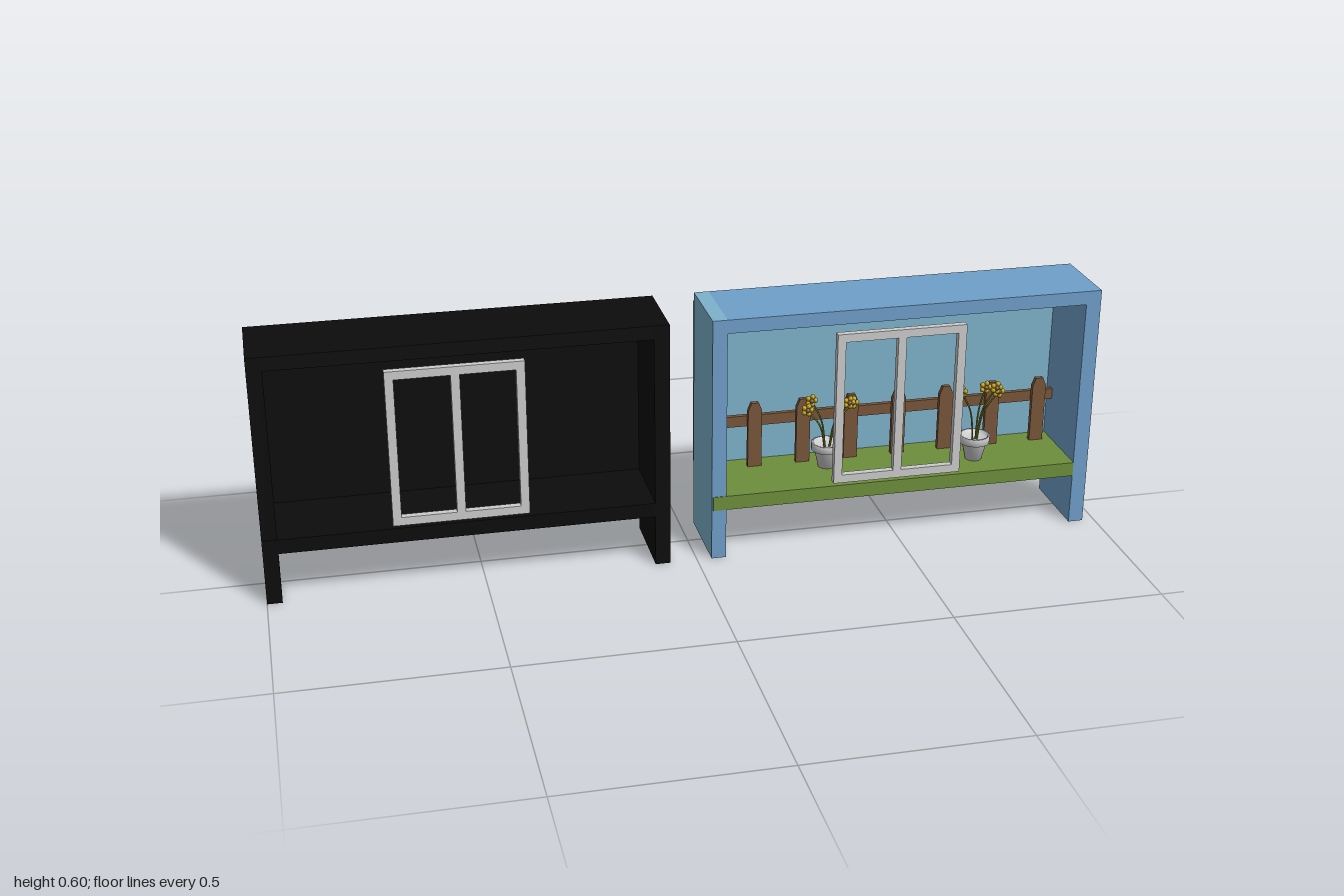
import * as THREE from 'three';

const mat = (color, flatShading = false) => new THREE.MeshStandardMaterial({ color, flatShading });
const BLUE = mat(0x6f9fc9), TEAL = mat(0x7eb2cb), BLACK = mat(0x0c0c0c), GREEN = mat(0x6e8e3c);
const WOOD = mat(0x775538), GREY = mat(0xcccccc), YELLOW = mat(0xb89a14), STEM = mat(0x6b7420);
const POT = new THREE.MeshStandardMaterial({ color: 0xcccccc, side: THREE.DoubleSide });

function add(parent, name, geometry, material) {
  const mesh = new THREE.Mesh(geometry, material);
  mesh.name = name;
  parent.add(mesh);
  return mesh;
}

// Box given by its limits along each axis
function box(parent, name, x0, x1, y0, y1, z0, z1, material) {
  const mesh = add(parent, name, new THREE.BoxGeometry(x1 - x0, y1 - y0, z1 - z0), material);
  mesh.position.set((x0 + x1) / 2, (y0 + y1) / 2, (z0 + z1) / 2);
  return mesh;
}

// Open-fronted box on two side walls, with a shelf, back panel and window frame
function diorama(name, x, m) {
  const g = new THREE.Group();
  g.name = name;
  g.position.x = x;
  box(g, 'leftEndWall', 0, 0.035, 0, 0.6, -0.09, 0.104, m.end);
  box(g, 'rightEndWall', 0.9, 0.936, 0, 0.6, -0.09, 0.104, m.side);
  box(g, 'roof', 0.035, 0.9, 0.567, 0.6, -0.09, 0.104, m.side);
  box(g, 'shelf', 0.003, 0.9, 0.125, 0.16, -0.09, 0.1055, m.shelf);
  box(g, 'backPanel', 0.003, 0.9, 0.16, 0.573, -0.11, -0.089, m.back);

  const shape = new THREE.Shape([[0, 0], [0.312, 0], [0.312, 0.376], [0, 0.376]].map(p => new THREE.Vector2(...p)));
  for (const left of [0.02, 0.166]) {
    const r = left + 0.126;
    shape.holes.push(new THREE.Path([[left, 0.02], [left, 0.356], [r, 0.356], [r, 0.02]].map(p => new THREE.Vector2(...p))));
  }
  const frame = add(g, 'windowFrame', new THREE.ExtrudeGeometry(shape, { depth: 0.017, bevelEnabled: false }), GREY);
  frame.position.set(0.294, 0.168, 0.092);
  return g;
}

// Rail with pointed pickets
function fence() {
  const g = new THREE.Group();
  g.name = 'fence';
  box(g, 'fenceRail', 0.05, 1, 0.262, 0.289, -0.067, -0.055, WOOD);
  const outline = [[-0.017, 0], [0.017, 0], [0.017, 0.145], [0.009, 0.165], [-0.009, 0.165], [-0.017, 0.145]];
  const geo = new THREE.ExtrudeGeometry(new THREE.Shape(outline.map(p => new THREE.Vector2(...p))),
    { depth: 0.012, bevelEnabled: false });
  for (let i = 0; i < 7; i++) {
    add(g, 'fencePicket', geo, WOOD).position.set(0.175 + i * 0.12, 0.16, -0.055);
  }
  return g;
}

// Flared pot with a thick rim, and thin curved flowers growing from it
function pottedFlowers(x, z, heads) {
  const g = new THREE.Group();
  g.name = 'pottedFlowers';
  g.position.set(x, 0.16, z);
  const profile = [[0, 0], [0.02, 0], [0.03, 0.043], [0.037, 0.044], [0.038, 0.062], [0.032, 0.062], [0.03, 0.05], [0, 0.05]];
  add(g, 'pot', new THREE.LatheGeometry(profile.map(p => new THREE.Vector2(...p)), 20), POT);
  const petal = new THREE.SphereGeometry(0.0065, 8, 6);
  const centre = new THREE.SphereGeometry(0.006, 8, 6);
  for (const [hx, hy, hz] of heads) {
    const curve = new THREE.CatmullRomCurve3([
      new THREE.Vector3(hx * 0.1, 0.045, 0),
      new THREE.Vector3(hx * 0.35, hy * 0.7, hz * 0.4),
      new THREE.Vector3(hx, hy, hz),
    ]);
    add(g, 'stem', new THREE.TubeGeometry(curve, 10, 0.0022, 5), STEM);
    const flower = new THREE.Group();
    flower.name = 'flower';
    flower.position.set(hx, hy, hz);
    for (let i = 0; i < 5; i++) {
      const a = i * Math.PI * 2 / 5;
      add(flower, 'petal', petal, YELLOW).position.set(Math.cos(a) * 0.01, Math.sin(a) * 0.01, 0);
    }
    add(flower, 'flowerCentre', centre, WOOD).position.z = 0.003;
    g.add(flower);
  }
  return g;
}

export function createModel() {
  const model = new THREE.Group();
  model.name = 'dayAndNightWindowBoxes';

  // Night box with tiny stars on the back panel
  const night = diorama('nightBox', -1, { end: BLACK, side: BLACK, shelf: BLACK, back: BLACK });
  const star = new THREE.OctahedronGeometry(0.003);
  for (const [x, y] of [[0.39, 0.557], [0.425, 0.56], [0.49, 0.56], [0.285, 0.52], [0.37, 0.51]]) {
    add(night, 'star', star, YELLOW).position.set(x, y, -0.087);
  }

  // Day box; only the front edge of its left end wall is blue
  const day = diorama('dayBox', 0.035, { end: [TEAL, TEAL, TEAL, TEAL, BLUE, TEAL], side: BLUE, shelf: GREEN, back: TEAL });

  model.add(night, day, fence(),
    pottedFlowers(0.345, -0.01, [[-0.05, 0.15, 0], [-0.035, 0.165, -0.02], [0.05, 0.165, 0.01], [0.065, 0.155, -0.01]]),
    pottedFlowers(0.707, 0.025, [[-0.04, 0.178, 0], [0.025, 0.18, -0.01], [0.045, 0.185, 0.01], [0.055, 0.17, 0]]));
  return model;
}
